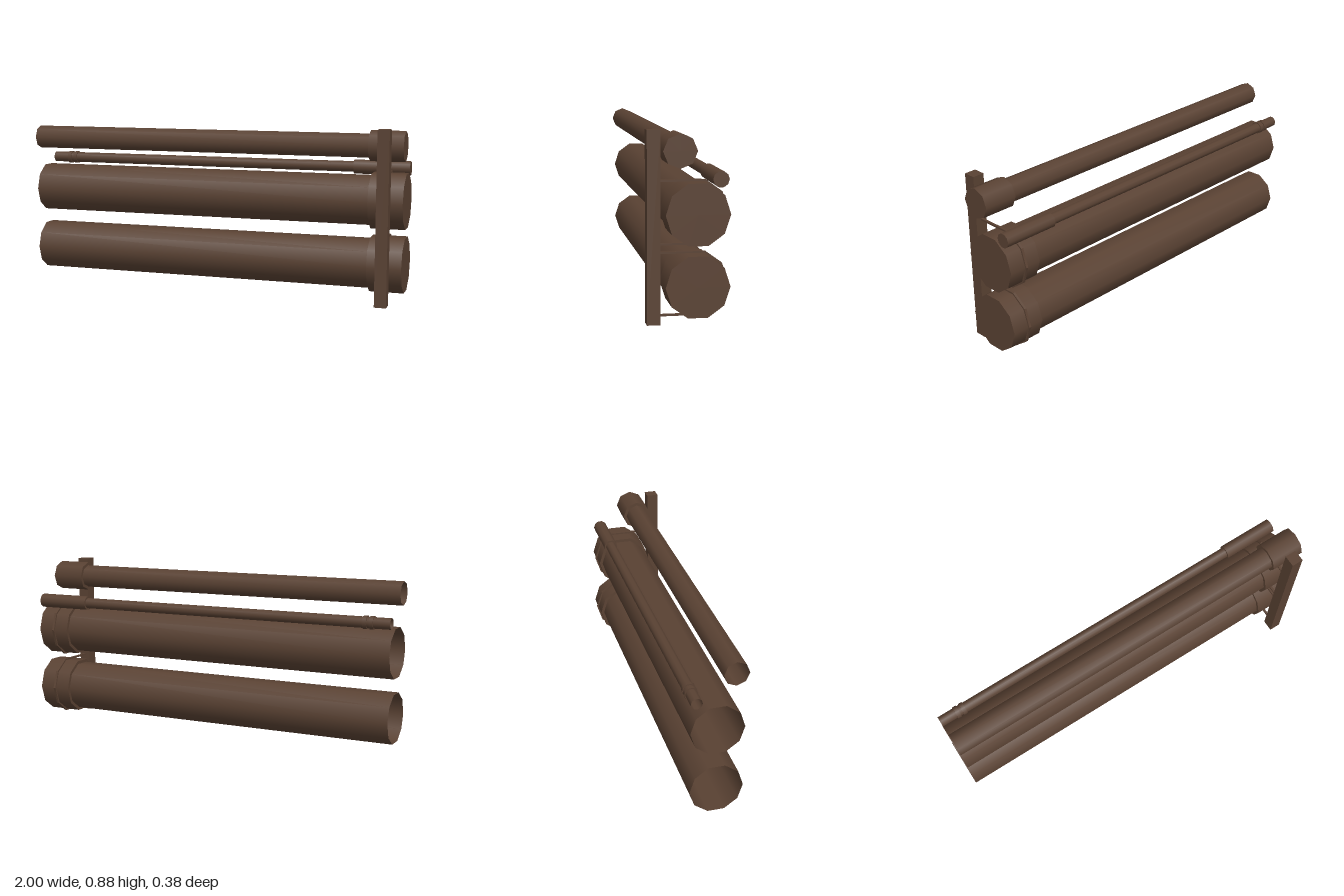
import * as THREE from 'three';

export function createModel() {
  const model = new THREE.Group();
  model.name = 'pipeRack';
  const brown = new THREE.MeshStandardMaterial({ color: 0x5a4233, side: THREE.DoubleSide });
  brown.name = 'rusty brown';

  const add = (name, geometry, parent = model) => {
    const mesh = new THREE.Mesh(geometry, brown);
    mesh.name = name;
    parent.add(mesh);
    return mesh;
  };

  // Cylinder lying along x between x0 and x1
  const tube = (name, parent, radius, sides, x0, x1, open) => {
    const geo = new THREE.CylinderGeometry(radius, radius, x1 - x0, sides, 1, open);
    geo.rotateZ(-Math.PI / 2);
    geo.translate((x0 + x1) / 2, 0, 0);
    return add(name, geo, parent);
  };

  // Open pipe with a wider closed collar at its +x end
  const pipe = (name, y, z, radius, collarRadius, sides, collarX) => {
    const group = new THREE.Group();
    group.name = name;
    group.position.set(0, y, z);
    tube('pipeBody', group, radius, sides, -1, collarX + 0.01, true);
    tube('pipeCollar', group, collarRadius, sides, collarX, 1, false);
    model.add(group);
    return group;
  };

  // U-shaped strap running from the post around the back of a collar
  const strapGeometry = (inner, outer, frontZ) => {
    const arc = (r) => {
      const pts = [];
      for (let i = 3; i <= 7; i++) pts.push(i * Math.PI / 5);
      // five-sided back half, starting and ending on the flat top and bottom
      const angles = [0.6, 0.8, 1, 1.2, 1.4].map((a) => a * Math.PI);
      return angles.map((a) => new THREE.Vector2(r * Math.cos(a), r * Math.sin(a)));
    };
    const h = Math.sin(0.6 * Math.PI);
    const outline = [
      new THREE.Vector2(frontZ, outer * h), ...arc(outer), new THREE.Vector2(frontZ, -outer * h),
      new THREE.Vector2(frontZ, -inner * h), ...arc(inner).reverse(), new THREE.Vector2(frontZ, inner * h),
    ];
    const geo = new THREE.ExtrudeGeometry(new THREE.Shape(outline), { depth: 0.012, bevelEnabled: false });
    geo.translate(0, 0, -0.006);
    geo.rotateY(-Math.PI / 2);
    return geo;
  };

  // Two large pipes, each strapped to the post
  const largeZ = -0.033;
  for (const [name, y] of [['lowerPipe', 0.18], ['upperPipe', 0.504]]) {
    const group = pipe(name, y, largeZ, 0.129, 0.146, 10, 0.825);
    add('strap', strapGeometry(0.145, 0.1545, 0.135 - largeZ), group).position.x = 0.909;
  }

  // Medium pipe at the top
  pipe('topPipe', 0.786, 0.048, 0.06, 0.077, 8, 0.825);

  // Thin conduit behind, with two raised rings near its open end
  const conduit = pipe('conduit', 0.66, -0.134, 0.028, 0.037, 10, 0.71);
  for (const x of [-0.905, -0.871]) tube('conduitRing', conduit, 0.033, 10, x - 0.01, x + 0.01, false);

  // Upright post
  add('post', new THREE.BoxGeometry(0.06, 0.875, 0.061)).position.set(0.912, 0.4375, 0.157);

  return model;
}
